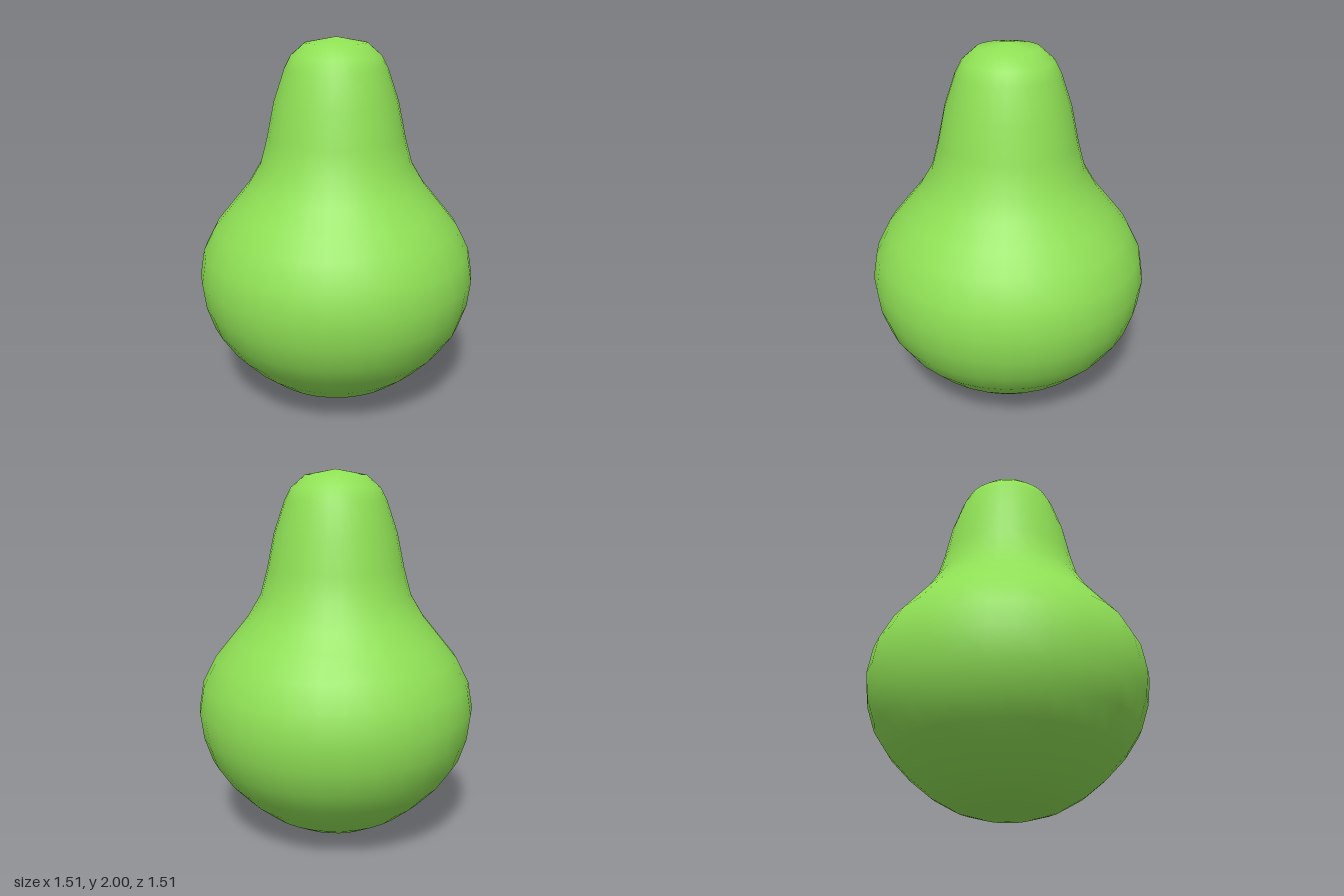
import * as THREE from 'three';

export function createModel() {
  const group = new THREE.Group();
  group.name = 'pear';

  // Half profile of the fruit as [radius, height], from the base to the crown
  const profile = [
    [0, 0], [0.14, 0.02], [0.275, 0.06], [0.4, 0.13], [0.51, 0.22],
    [0.615, 0.33], [0.695, 0.45], [0.738, 0.58], [0.755, 0.72], [0.73, 0.865],
    [0.66, 1.0], [0.57, 1.11], [0.48, 1.22], [0.408, 1.34], [0.37, 1.48],
    [0.33, 1.67], [0.272, 1.84], [0.238, 1.905], [0.163, 1.97], [0, 2],
  ].map(([r, y]) => new THREE.Vector2(r, y));

  // Smooth round body, narrowing into the neck
  const body = new THREE.Mesh(
    new THREE.LatheGeometry(profile, 32),
    new THREE.MeshStandardMaterial({ color: 0x8fe055 })
  );
  body.name = 'fruitBody';
  group.add(body);

  return group;
}
